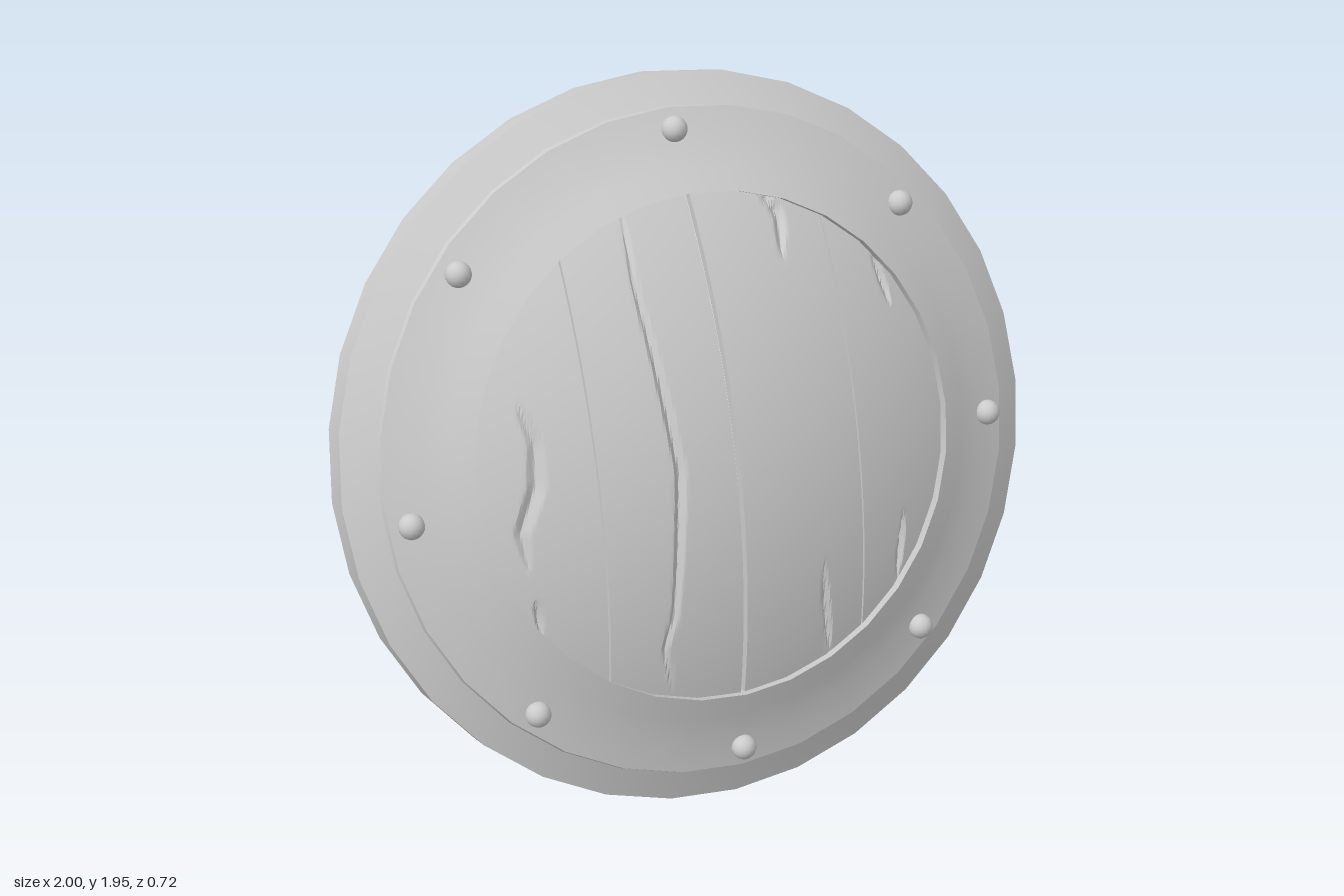
import * as THREE from 'three';
import { toCreasedNormals } from 'three/addons/utils/BufferGeometryUtils.js';

const TILT = 0.274;
const CENTRE_Y = 0.9925;
const material = new THREE.MeshStandardMaterial({ color: 0xcccccc });

// Height of the domed boards above the rim plane
const dome = (x, y) => 0.27 - 0.3 * (x * x + y * y);

// Cracks in the boards: half width, then x, height pairs from the top down
const cracks = [
  { w: 0.016, p: [[-0.19, 1.68], [-0.2, 1.5], [-0.16, 1.05], [-0.2, 0.65], [-0.23, 0.55], [-0.2, 0.41]] },
  { w: 0.026, p: [[-0.55, 1.24], [-0.52, 1.15], [-0.53, 1.04], [-0.58, 0.92], [-0.57, 0.82]] },
  { w: 0.02, p: [[0.2, 1.68], [0.25, 1.6], [0.23, 1.51]] },
  { w: 0.014, p: [[0.245, 0.7], [0.25, 0.6], [0.27, 0.43]] },
  { w: 0.014, p: [[0.52, 0.77], [0.5, 0.59]] },
  { w: 0.012, p: [[-0.56, 0.74], [-0.55, 0.64]] },
  { w: 0.014, p: [[0.52, 1.46], [0.55, 1.32]] },
];

// Depth of the crack grooves at a point on the boards
function grooveDepth(x, y) {
  const height = CENTRE_Y + y * Math.cos(TILT) + dome(x, y) * Math.sin(TILT);
  let depth = 0;
  for (const { w, p } of cracks) {
    const top = p[0][1], bottom = p[p.length - 1][1];
    if (height >= top || height <= bottom) continue;
    const i = p.findIndex((q) => q[1] <= height);
    const [ax, ay] = p[i - 1], [bx, by] = p[i];
    const cx = ax + ((bx - ax) * (height - ay)) / (by - ay);
    const taper = Math.sqrt(Math.sin((Math.PI * (top - height)) / (top - bottom)));
    depth = Math.max(depth, 0.018 * taper * Math.max(0, 1 - Math.abs(x - cx) / (w * taper)));
  }
  return depth;
}

// Curved board between x0 and x1, cut to the round opening
function plank(x0, x1) {
  const geo = new THREE.BoxGeometry(1, 1, 1, 60, 50, 1);
  const pos = geo.attributes.position;
  for (let i = 0; i < pos.count; i++) {
    const x = x0 + (pos.getX(i) + 0.5) * (x1 - x0);
    const y = pos.getY(i) * 2 * Math.sqrt(Math.max(0, 0.49 - x * x));
    const front = pos.getZ(i) > 0;
    pos.setXYZ(i, x, y, dome(x, y) - (front ? grooveDepth(x, y) : 0.028));
  }
  return toCreasedNormals(geo, 0.5);
}

export function createModel() {
  const model = new THREE.Group();
  model.name = 'roundShield';
  const add = (name, geo) => {
    const mesh = new THREE.Mesh(geo, material);
    mesh.name = name;
    model.add(mesh);
    return mesh;
  };

  // Rim and raised band, turned as one closed profile (radius, height)
  const profile = [
    [0.685, 0.1], [1, -0.097], [1, 0], [0.912, 0.05], [0.908, 0.066],
    [0.81, 0.098], [0.75, 0.128], [0.685, 0.16], [0.685, 0.1],
  ].map(([r, h]) => new THREE.Vector2(r, h));
  const rim = new THREE.LatheGeometry(profile, 32).rotateX(Math.PI / 2);
  add('rim', toCreasedNormals(rim, 0.35));

  // Four boards with narrow gaps
  const boards = [[-0.699, -0.379], [-0.374, -0.006], [0.006, 0.374], [0.379, 0.699]];
  boards.forEach(([x0, x1], i) => add('plank' + (i + 1), plank(x0, x1)));

  // Rivets around the band
  const rivet = new THREE.SphereGeometry(0.035, 16, 10);
  [90, 41.5, -4, -47.5, -90, -132.5, 184, 138.5].forEach((deg, i) => {
    const a = THREE.MathUtils.degToRad(deg);
    add('rivet' + (i + 1), rivet).position.set(0.851 * Math.cos(a), 0.851 * Math.sin(a), 0.093);
  });

  // Lean the shield back
  model.rotation.x = -TILT;
  model.position.set(0, CENTRE_Y, 0.01);
  const root = new THREE.Group();
  root.name = 'shield';
  root.add(model);
  return root;
}
